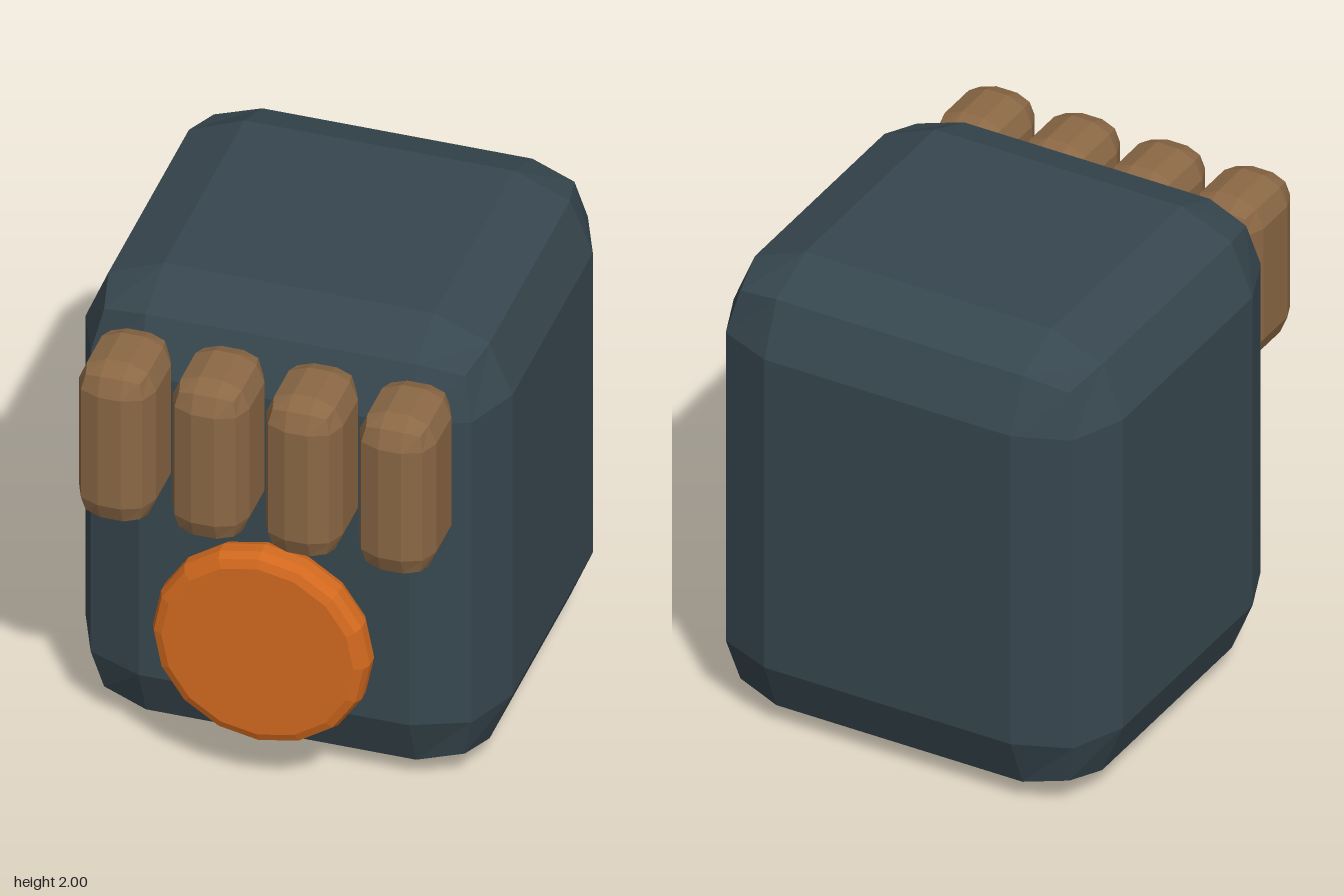
import * as THREE from 'three';
import { RoundedBoxGeometry } from 'three/addons/geometries/RoundedBoxGeometry.js';

function material(name, color) {
  const m = new THREE.MeshStandardMaterial({ color, flatShading: true });
  m.name = name;
  return m;
}

export function createModel() {
  const slate = material('slate', 0x37474f);
  const tan = material('tan', 0x8b6845);
  const orange = material('orange', 0xd2691e);
  const model = new THREE.Group();
  model.name = 'paw';

  function add(name, geometry, mat, x, y, z) {
    const mesh = new THREE.Mesh(geometry, mat);
    mesh.name = name;
    mesh.position.set(x, y, z);
    model.add(mesh);
    return mesh;
  }

  // Big bevelled block
  add('body', new RoundedBoxGeometry(1.69, 2, 1.6, 1, 0.31), slate, 0, 1, -0.15);

  // Row of four upright pads along the upper front
  const pad = new RoundedBoxGeometry(0.305, 0.71, 0.395, 1, 0.107);
  for (let i = 0; i < 4; i++) {
    add('fingerPad' + (i + 1), pad, tan, (i - 1.5) * 0.37, 1.525, 0.7525);
  }

  // Round disc with a softened rim, standing just off the front face
  const profile = [
    [0, -0.075], [0.38, -0.075], [0.415, -0.06], [0.43, -0.025],
    [0.43, 0.025], [0.415, 0.06], [0.38, 0.075], [0, 0.075],
  ].map(([r, y]) => new THREE.Vector2(r, y));
  const disc = new THREE.LatheGeometry(profile, 16).rotateX(Math.PI / 2);
  add('palmDisc', disc, orange, 0, 0.665, 0.775);

  return model;
}
